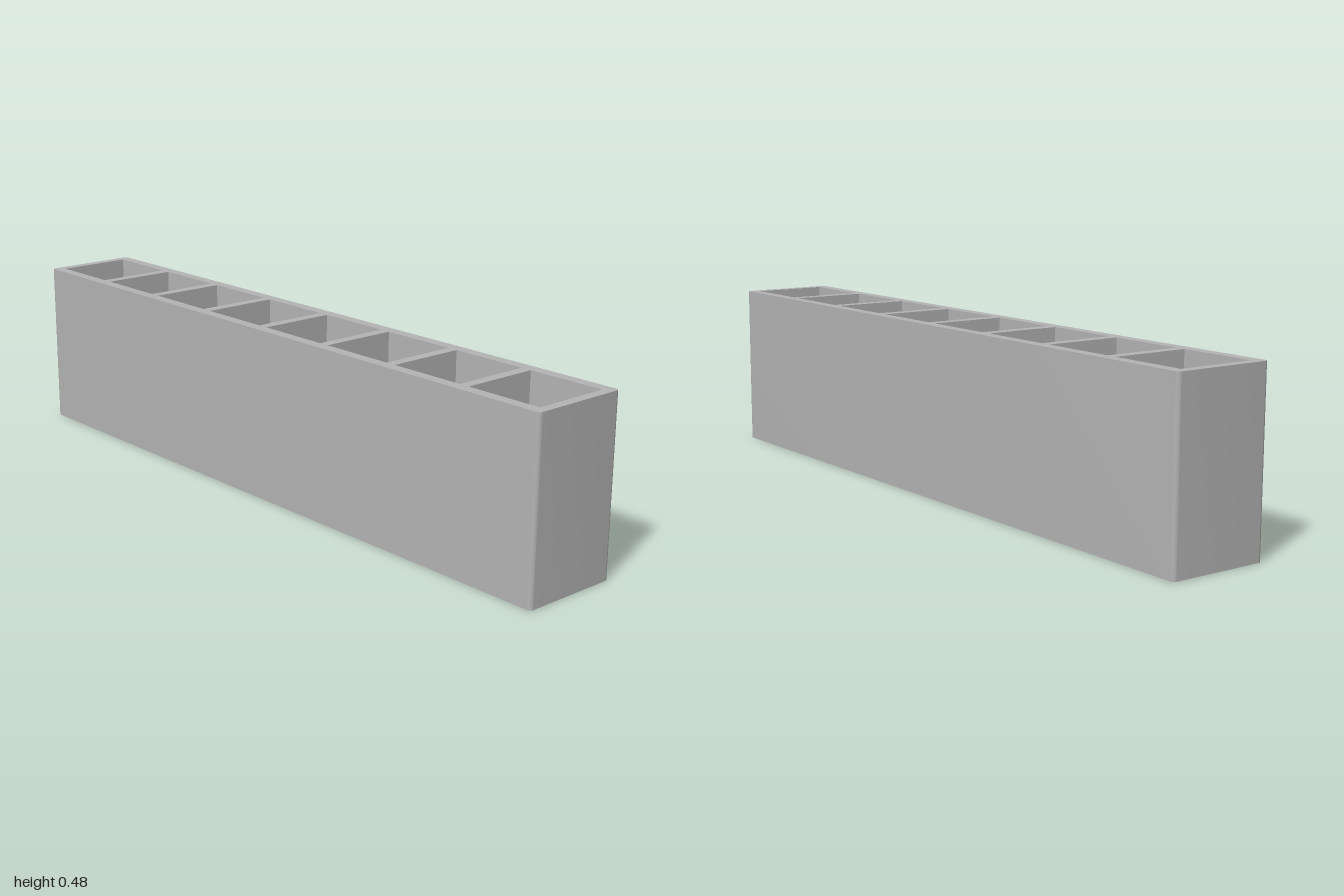
import * as THREE from 'three';
import { toCreasedNormals } from 'three/addons/utils/BufferGeometryUtils.js';

const WIDTH = 0.28, LENGTH = 2, HEIGHT = 0.477, CORNER = 0.01;
const CELLS = 8, CELL_WIDTH = 0.217, CELL_LENGTH = 0.218, PITCH = 0.247;

// Rectangle outline with rounded corners, centred on the origin
function roundedOutline(w, l, r) {
  const x = w / 2 - r, y = l / 2 - r;
  const shape = new THREE.Shape();
  shape.absarc(x, y, r, 0, Math.PI / 2);
  shape.absarc(-x, y, r, Math.PI / 2, Math.PI);
  shape.absarc(-x, -y, r, Math.PI, Math.PI * 1.5);
  shape.absarc(x, -y, r, Math.PI * 1.5, Math.PI * 2);
  shape.closePath();
  return shape;
}

// Square-cornered opening centred at y
function cellOpening(y) {
  const a = CELL_WIDTH / 2, b = CELL_LENGTH / 2;
  return new THREE.Path([
    new THREE.Vector2(-a, y - b), new THREE.Vector2(-a, y + b),
    new THREE.Vector2(a, y + b), new THREE.Vector2(a, y - b),
  ]).closePath();
}

export function createModel() {
  const group = new THREE.Group();
  group.name = 'cellBlock';

  const grey = new THREE.MeshStandardMaterial({ color: 0xb3b3b3 });
  grey.name = 'grey';

  // Long block with a row of open cells running right through it
  const outline = roundedOutline(WIDTH, LENGTH, CORNER);
  for (let i = 0; i < CELLS; i++) {
    outline.holes.push(cellOpening((i - (CELLS - 1) / 2) * PITCH));
  }
  const block = new THREE.ExtrudeGeometry(outline, {
    depth: HEIGHT, bevelEnabled: false, curveSegments: 6,
  });
  block.rotateX(-Math.PI / 2);

  const frame = new THREE.Mesh(toCreasedNormals(block, 0.5), grey);
  frame.name = 'dividedFrame';
  group.add(frame);
  return group;
}
